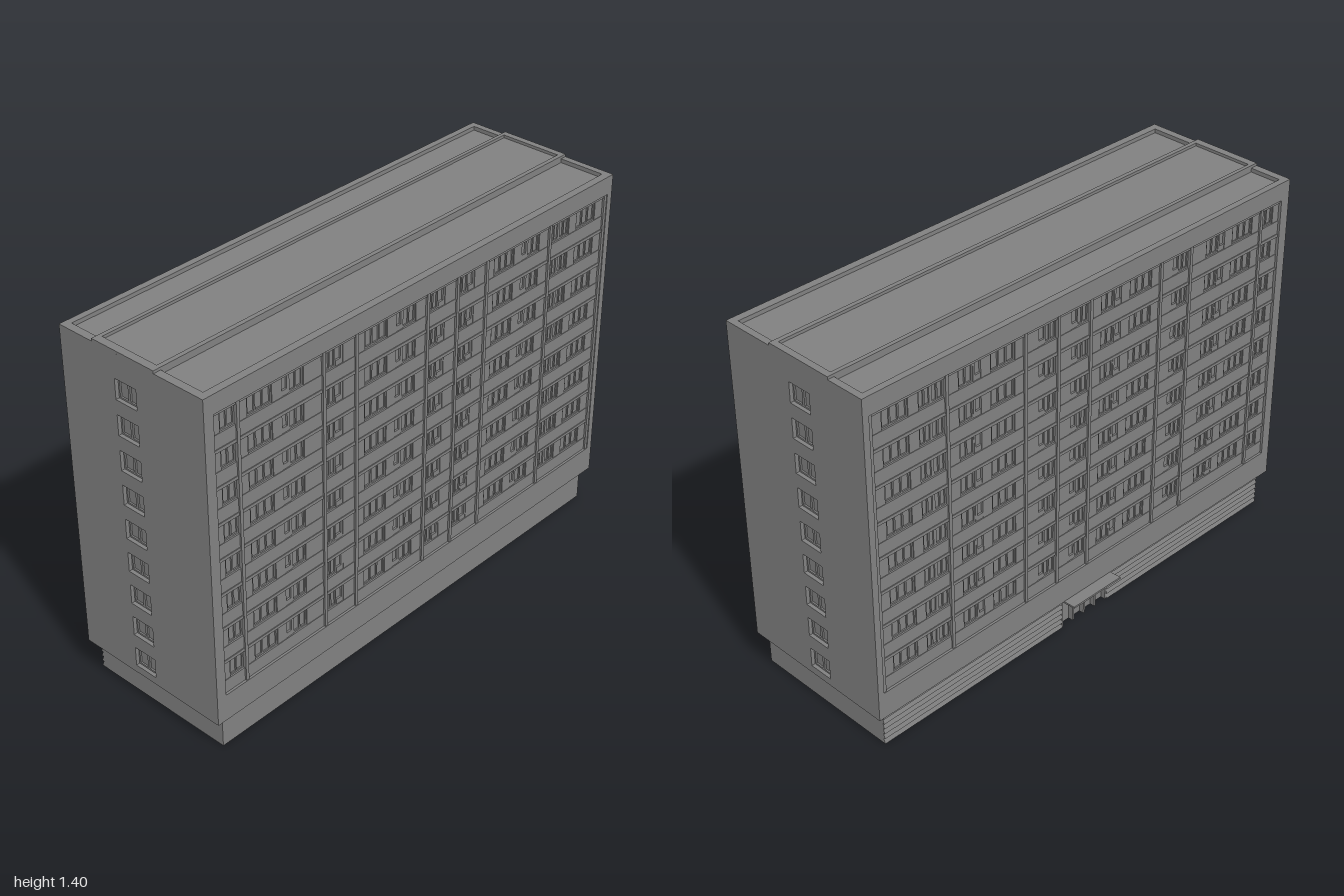
import * as THREE from 'three';
import { mergeGeometries } from 'three/addons/utils/BufferGeometryUtils.js';

const concrete = new THREE.MeshStandardMaterial({ color: 0x808080, side: THREE.DoubleSide });
concrete.name = 'concrete grey';

// Body limits and storey layout
const X0 = -0.295, X1 = 0.345, Y0 = 0.13, Y1 = 1.39;
const FLOORS = 8, F0 = 0.235, F1 = 1.32, FH = (F1 - F0) / FLOORS;

// Box geometry from its limits
function box(x0, x1, y0, y1, z0, z1) {
  const g = new THREE.BoxGeometry(Math.abs(x1 - x0), y1 - y0, z1 - z0);
  return g.translate((x0 + x1) / 2, (y0 + y1) / 2, (z0 + z1) / 2);
}

// Rectangular panel with rectangular holes, given as [u0, u1, v0, v1]
function panel(r, holes, depth) {
  const path = (P, [a, b, c, d]) => {
    const p = new P();
    p.moveTo(a, c); p.lineTo(b, c); p.lineTo(b, d); p.lineTo(a, d); p.closePath();
    return p;
  };
  const shape = path(THREE.Shape, r);
  holes.forEach(h => shape.holes.push(path(THREE.Path, h)));
  return new THREE.ExtrudeGeometry(shape, { depth, bevelEnabled: false });
}

function add(group, name, geos) {
  const list = [].concat(geos);
  const mesh = new THREE.Mesh(list.length > 1 ? mergeGeometries(list) : list[0], concrete);
  mesh.name = name;
  group.add(mesh);
  return mesh;
}

// Long side: recessed window field inside a flat surround
function facade(name, xFace, dir, bays) {
  const g = new THREE.Group();
  g.name = name;
  const at = d => xFace - dir * d;
  const bar = (d0, d1, y0, y1, z0, z1) => box(at(d0), at(d1), y0, y1, z0, z1);
  const surround = panel([-1, 1, Y0, Y1], [[-0.975, 0.96, F0, F1]], 0.02);
  surround.rotateY(-Math.PI / 2).translate(dir > 0 ? xFace : xFace + 0.02, 0, 0);
  add(g, 'facadeSurround', surround);
  add(g, 'windowGlass', bar(0.02, 0.024, F0 - 0.01, F1 + 0.01, -0.985, 0.97));

  const spandrels = [], piers = [], infill = [], frames = [];
  for (let f = 0; f < FLOORS; f++) {
    const y = F0 + f * FH, sill = y + 0.052, head = y + FH - 0.012;
    spandrels.push(bar(0.009, 0.021, y, sill, -0.975, 0.96));
    spandrels.push(bar(0.006, 0.021, head, y + FH, -0.975, 0.96));
    let z = 0.96;
    for (const [kind, w] of bays) {
      const a = z - w, b = z;
      z = a;
      if (kind === 'solid') infill.push(bar(0.011, 0.021, sill, head, a, b));
      if (kind === 'wide' || kind === 'narrow') {
        const n = kind === 'wide' ? 3 : 2;
        for (let i = 0; i <= n; i++) {
          const m = a + (w - 0.006) * i / n;
          frames.push(bar(0.015, 0.021, sill, head, m, m + 0.006));
        }
        frames.push(bar(0.015, 0.021, sill, sill + 0.006, a, b));
      }
      if (kind === 'door') {
        // balcony door: a low panel beside a tall opening
        frames.push(bar(0.013, 0.021, sill, sill + 0.02, a, b));
        frames.push(bar(0.013, 0.021, sill, head, a, a + 0.008));
      }
    }
  }
  let z = 0.96;
  for (const [kind, w] of bays) {
    if (kind === 'pier') piers.push(bar(0.003, 0.021, F0, F1, z - w, z));
    z -= w;
  }
  add(g, 'spandrels', spandrels);
  add(g, 'infillPanels', infill);
  add(g, 'windowFrames', frames);
  add(g, 'piers', piers);
  return g;
}

// Short side: wall with a column of recessed two-pane windows
function endWall(name, dir) {
  const g = new THREE.Group();
  g.name = name;
  const holes = [], panes = [], bars = [];
  const at = (d0, d1) => [Math.min(dir * (1 - d0), dir * (1 - d1)), Math.max(dir * (1 - d0), dir * (1 - d1))];
  for (let i = 0; i < 9; i++) {
    const y = 0.16 + i * 0.1325, t = y + 0.077;
    holes.push([-0.048, 0.048, y, t]);
    panes.push(box(-0.05, 0.05, y - 0.002, t + 0.002, ...at(0.02, 0.024)));
    bars.push(box(-0.005, 0.005, y, t, ...at(0.014, 0.021)));
    for (const x of [-0.048, 0.042]) bars.push(box(x, x + 0.006, y, t, ...at(0.014, 0.021)));
    for (const v of [y, t - 0.006]) bars.push(box(-0.048, 0.048, v, v + 0.006, ...at(0.014, 0.021)));
  }
  const wall = panel([X0, X1, Y0, Y1], holes, 0.02);
  wall.translate(0, 0, dir > 0 ? 0.98 : -1);
  add(g, 'wall', wall);
  add(g, 'panes', panes);
  add(g, 'paneFrames', bars);
  return g;
}

function roof() {
  const g = new THREE.Group();
  g.name = 'roof';
  add(g, 'roofDeck', box(X0 + 0.01, X1 - 0.01, 1.362, 1.375, -0.99, 0.99));
  add(g, 'outerParapet', [
    box(X0, X0 + 0.025, 1.36, Y1, -1, 1), box(X1 - 0.03, X1, 1.36, Y1, -1, 1),
    box(X0, X1, 1.36, Y1, -1, -0.975), box(X0, X1, 1.36, Y1, 0.97, 1)]);
  add(g, 'centreDeck', box(-0.135, 0.12, 1.37, 1.389, -0.98, 0.975));
  add(g, 'centreParapet', [
    box(-0.143, -0.128, 1.37, 1.4, -1, 1), box(0.117, 0.134, 1.37, 1.4, -1, 1),
    box(-0.14, 0.13, 1.385, 1.4, -1, -0.975), box(-0.14, 0.13, 1.385, 1.4, 0.97, 1)]);
  return g;
}

// Hollow plinth, open below, with lapped boards on the entrance side
function plinth() {
  const g = new THREE.Group();
  g.name = 'plinth';
  add(g, 'plinthWalls', [
    box(0.31, 0.32, 0, Y0, -0.97, 0.96),
    box(-0.27, 0.32, 0, Y0, 0.95, 0.96), box(-0.27, 0.32, 0, Y0, -0.97, -0.96)]);
  add(g, 'ledge', [
    box(0.31, X1, Y0, Y0 + 0.005, -1, 1), box(X0, -0.27, Y0, Y0 + 0.005, -1, 1),
    box(X0, X1, Y0, Y0 + 0.005, 0.95, 1), box(X0, X1, Y0, Y0 + 0.005, -1, -0.96)]);
  const boards = new THREE.Shape();
  boards.moveTo(-0.266, 0);
  const n = 6, h = Y0 / n;
  for (let i = 0; i < n; i++) {
    boards.lineTo(-0.281, i * h);
    boards.lineTo(-0.273, (i + 1) * h);
  }
  boards.lineTo(-0.266, Y0);
  boards.closePath();
  for (const [a, b] of [[-0.97, -0.125], [0.11, 0.96]]) {
    const geo = new THREE.ExtrudeGeometry(boards, { depth: b - a, bevelEnabled: false });
    add(g, 'boardedWall', geo.translate(0, 0, a));
  }
  return g;
}

function entrance() {
  const g = new THREE.Group();
  g.name = 'entrance';
  const bars = [box(-0.278, -0.255, 0.115, Y0, -0.125, 0.11)];
  for (let i = 0; i <= 4; i++) {
    const z = -0.125 + i * 0.227 / 4;
    bars.push(box(-0.278, -0.255, 0, Y0, z, z + 0.008));
  }
  add(g, 'doorFrame', bars);
  add(g, 'doorLeaves', box(-0.259, -0.255, 0, Y0, -0.125, 0.11));
  const canopy = add(g, 'canopy', box(-0.075, 0, 0, 0.007, -0.13, 0.11));
  canopy.position.set(-0.27, 0.123, 0);
  canopy.rotation.z = -0.06;
  return g;
}

export function createModel() {
  const model = new THREE.Group();
  model.name = 'apartmentBlock';
  const flat = [['solid', 0.035], ['wide', 0.1], ['solid', 0.04], ['door', 0.03], ['narrow', 0.06], ['solid', 0.045]];
  const half = [['narrow', 0.05], ['door', 0.03], ['solid', 0.05], ['pier', 0.012]];
  const bays = [['solid', 0.03], ['narrow', 0.06], ['pier', 0.012], ...flat, ['solid', 0.03], ['pier', 0.012],
    ...half, ...flat, ['pier', 0.012], ...half, ...half, ...flat, ['pier', 0.012],
    ['narrow', 0.05], ['narrow', 0.05], ['solid', 0.04], ['wide', 0.1], ['solid', 0.04], ['pier', 0.012]];
  const used = bays.reduce((s, b) => s + b[1], 0);
  const fit = bays.map(([k, w]) => [k, w * 1.935 / used]);
  model.add(
    facade('leftFacade', X1, 1, fit),
    facade('rightFacade', X0, -1, fit),
    endWall('frontWall', 1), endWall('backWall', -1),
    roof(), plinth(), entrance());
  return model;
}
